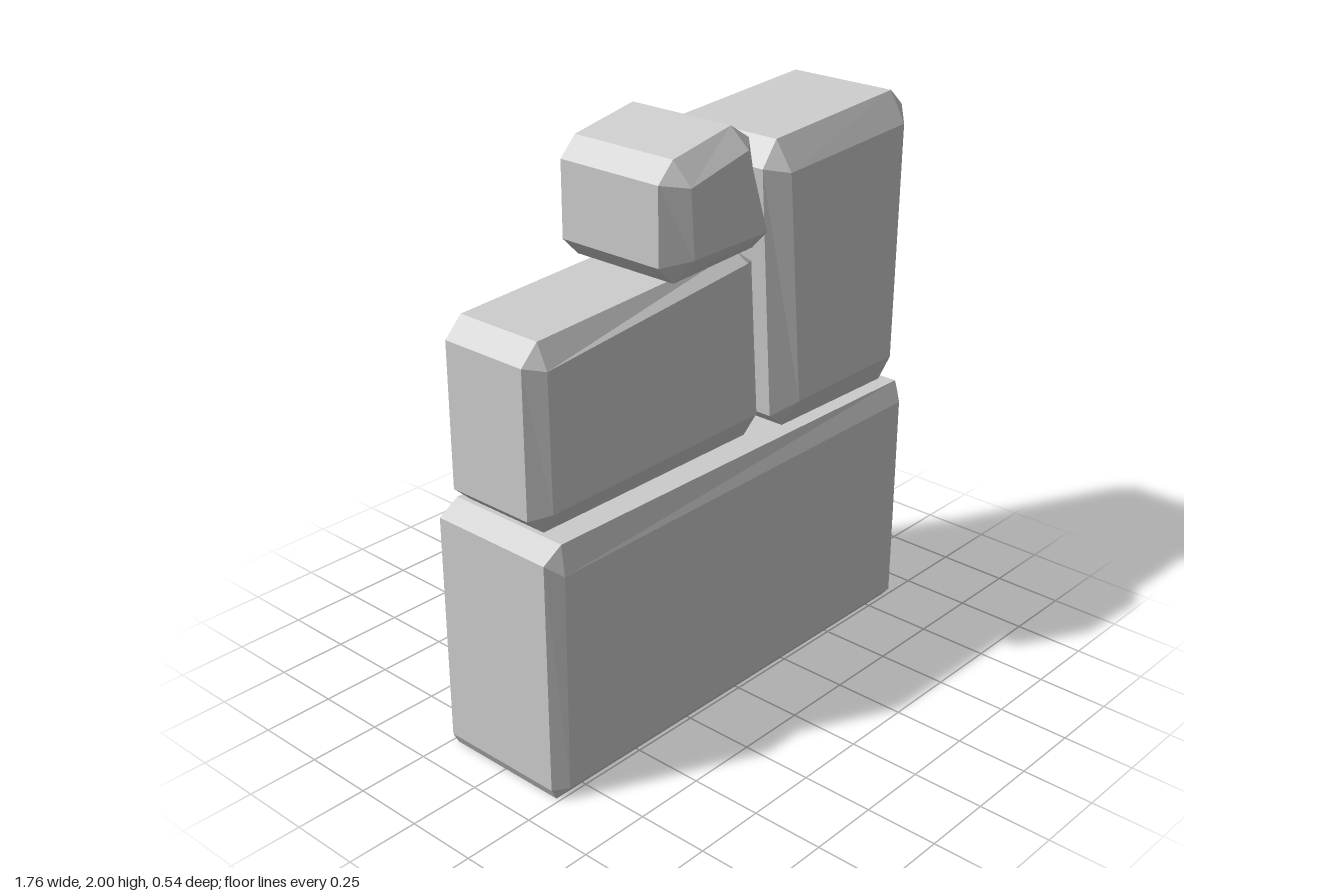
import * as THREE from 'three';

const material = new THREE.MeshStandardMaterial({ color: 0xcccccc, flatShading: true });

// Bevelled stone block.
// outline: 8 side points [x, y], counter-clockwise from the left end of the bottom edge.
// face: 4 corners of the front and back faces, counter-clockwise from bottom left.
// faceZ / sideZ: [back, front] depth of the large faces and of the side walls.
function stone(name, outline, face, faceZ, sideZ) {
  const positions = [];
  const polygon = (points, flip = false) => {
    const p = flip ? [...points].reverse() : points;
    for (let i = 1; i < p.length - 1; i++) positions.push(...p[0], ...p[i], ...p[i + 1]);
  };

  // Large face, bevels and clipped corners, for back and front
  for (const s of [0, 1]) {
    const flip = s === 0;
    const inner = face.map(([x, y]) => [x, y, faceZ[s]]);
    const outer = outline.map(([x, y]) => [x, y, sideZ[s]]);
    polygon(inner, flip);
    for (let k = 0; k < 4; k++) {
      polygon([outer[2 * k], outer[2 * k + 1], inner[(k + 1) % 4], inner[k]], flip);
      polygon([outer[(2 * k + 7) % 8], outer[2 * k], inner[k]], flip);
    }
  }

  // Side walls
  outline.forEach(([x, y], i) => {
    const [u, v] = outline[(i + 1) % 8];
    polygon([[x, y, sideZ[1]], [x, y, sideZ[0]], [u, v, sideZ[0]], [u, v, sideZ[1]]]);
  });

  const geometry = new THREE.BufferGeometry();
  geometry.setAttribute('position', new THREE.Float32BufferAttribute(positions, 3));
  geometry.computeVertexNormals();
  const mesh = new THREE.Mesh(geometry, material);
  mesh.name = name;
  return mesh;
}

export function createModel() {
  const model = new THREE.Group();
  model.name = 'stoneWall';

  model.add(
    stone('baseStone',
      [[-0.865, 0], [0.85, 0], [0.88, 0.04], [0.88, 0.84], [0.865, 0.88], [-0.81, 0.89], [-0.885, 0.845], [-0.885, 0.04]],
      [[-0.835, 0.04], [0.845, 0.04], [0.85, 0.81], [-0.83, 0.8]],
      [-0.265, 0.268], [-0.23, 0.235]),

    stone('leftStone',
      [[-0.805, 0.9], [0.12, 0.9], [0.185, 0.955], [0.145, 1.51], [0.065, 1.567], [-0.805, 1.52], [-0.87, 1.455], [-0.87, 0.96]],
      [[-0.805, 0.975], [0.12, 0.985], [0.075, 1.53], [-0.81, 1.44]],
      [-0.215, 0.2], [-0.172, 0.155]),

    stone('rightStone',
      [[0.265, 0.9], [0.81, 0.895], [0.87, 0.955], [0.87, 1.89], [0.805, 1.95], [0.205, 1.91], [0.14, 1.825], [0.2, 0.955]],
      [[0.28, 1.0], [0.79, 1.005], [0.805, 1.845], [0.21, 1.81]],
      [-0.27, 0.26], [-0.21, 0.2]),

    stone('topStone',
      [[-0.275, 1.56], [0.095, 1.58], [0.135, 1.64], [0.07, 1.945], [-0.015, 2.0], [-0.275, 1.95], [-0.34, 1.885], [-0.34, 1.625]],
      [[-0.245, 1.64], [0.095, 1.645], [0.0, 1.93], [-0.26, 1.87]],
      [-0.27, 0.26], [-0.21, 0.2]),
  );
  return model;
}
